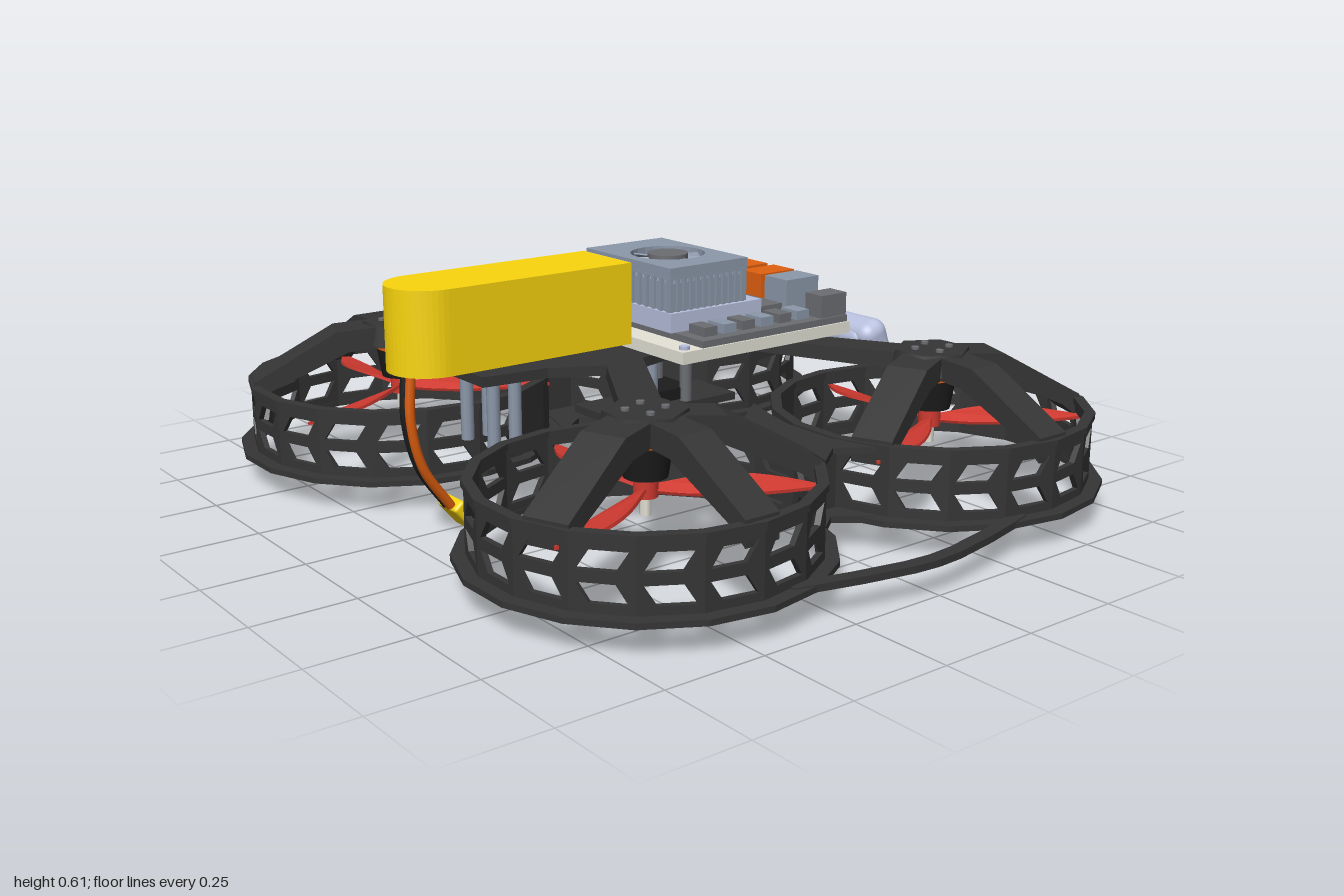
import * as THREE from 'three';
import { mergeGeometries } from 'three/addons/utils/BufferGeometryUtils.js';
import { RoundedBoxGeometry } from 'three/addons/geometries/RoundedBoxGeometry.js';

const mat = (color) => new THREE.MeshStandardMaterial({ color, side: THREE.DoubleSide });
const DARK = mat(0x353535), BLACK = mat(0x1c1c1c), YELLOW = mat(0xfad60e), RED = mat(0xd03a30);
const ORANGE = mat(0xe0600f), STEEL = mat(0x8c98aa), PALE = mat(0xb8c0de), CREAM = mat(0xe6e4d8), GREY = mat(0x6c6e72);

function add(parent, name, geometry, material, x = 0, y = 0, z = 0) {
  const m = new THREE.Mesh(geometry, material);
  m.name = name;
  m.position.set(x, y, z);
  parent.add(m);
  return m;
}
// Box given by its limits
function block(parent, name, material, x0, x1, y0, y1, z0, z1) {
  return add(parent, name, new THREE.BoxGeometry(x1 - x0, y1 - y0, z1 - z0), material,
    (x0 + x1) / 2, (y0 + y1) / 2, (z0 + z1) / 2);
}
const poly = (pts) => new THREE.Shape(pts.map(([x, y]) => new THREE.Vector2(x, y)));
const extrude = (shape, depth) => new THREE.ExtrudeGeometry(shape, { depth, bevelEnabled: false, curveSegments: 12 });
// Horizontal slab: outline in x, z between two heights
const slab = (shape, y0, y1) => extrude(shape, y1 - y0).rotateX(Math.PI / 2).translate(0, y1, 0);

const SIDES = 18, CX = 0.54, CZ = 0.445, WALL = 0.394;
function ringSlab(outer, inner, y0, y1) {
  const circle = (r) => Array.from({ length: SIDES }, (_, i) => {
    const a = (i / SIDES) * Math.PI * 2;
    return [r * Math.cos(a), r * Math.sin(a)];
  });
  const s = poly(circle(outer));
  s.holes.push(poly(circle(inner)));
  return slab(s, y0, y1);
}

// One flat facet of the duct wall, with a chevron of two slanted windows
function wallPanel(open) {
  const w = WALL * Math.sin(Math.PI / SIDES);
  const s = poly([[-w, 0.075], [w, 0.075], [w, 0.25], [-w, 0.25]]);
  if (open) {
    s.holes.push(poly([[-w * 0.8, 0.172], [w * 0.4, 0.172], [w * 0.8, 0.215], [-w * 0.4, 0.215]]));
    s.holes.push(poly([[-w * 0.4, 0.102], [w * 0.8, 0.102], [w * 0.4, 0.145], [-w * 0.8, 0.145]]));
  }
  return extrude(s, 0.014).translate(0, 0, -0.014);
}

// Curved blade along +x, twisted about its length
function bladeGeometry() {
  const s = new THREE.Shape();
  s.moveTo(0.02, -0.012);
  s.bezierCurveTo(0.12, -0.03, 0.24, -0.09, 0.395, 0.03);
  s.bezierCurveTo(0.3, 0.045, 0.15, 0.045, 0.02, 0.012);
  const g = slab(s, -0.004, 0.004);
  const p = g.attributes.position;
  for (let i = 0; i < p.count; i++) {
    const t = 0.45 - p.getX(i) * 0.9, y = p.getY(i), z = p.getZ(i);
    p.setXYZ(i, p.getX(i), y * Math.cos(t) - z * Math.sin(t), y * Math.sin(t) + z * Math.cos(t));
  }
  g.computeVertexNormals();
  return g;
}

function createRotorUnit(sx, sz) {
  const unit = new THREE.Group();
  unit.name = 'rotorUnit';
  unit.position.set(sx * CX, 0, sz * CZ);

  // Perforated duct, solid where it faces the body
  const panels = [];
  for (let i = 0; i < SIDES; i++) {
    const a = ((i + 0.5) / SIDES) * Math.PI * 2;
    const inward = -(Math.cos(a) * sx * 0.77 + Math.sin(a) * sz * 0.63);
    const r = WALL * Math.cos(Math.PI / SIDES);
    panels.push(wallPanel(inward < 0.9).rotateY(Math.PI / 2 - a).translate(r * Math.cos(a), 0, r * Math.sin(a)));
  }
  add(unit, 'ductWall', mergeGeometries(panels), DARK);
  add(unit, 'ductFlange', ringSlab(0.427, 0.378, 0.068, 0.082), DARK);
  add(unit, 'ductTopRim', ringSlab(0.4, 0.374, 0.236, 0.252), DARK);

  // Three sloping arms to the duct and one flat arm to the body
  const slope = poly([[0.02, 0.39], [0.17, 0.38], [0.385, 0.26], [0.385, 0.2], [0.34, 0.235], [0.14, 0.325], [0.02, 0.335]]);
  const flat = poly([[0.02, 0.385], [0.47, 0.385], [0.47, 0.355], [0.02, 0.34]]);
  for (const [dx, dz, shape, w] of [[0.14, 0.35, slope, 0.11], [0.39, 0, slope, 0.09], [0.15, -0.35, slope, 0.1], [-0.42, -0.25, flat, 0.095]]) {
    const arm = add(unit, 'arm', extrude(shape, w).translate(0, 0, -w / 2), DARK);
    arm.rotation.y = Math.atan2(-dz * sz, dx * sx);
  }
  const hub = add(unit, 'motorMount', new THREE.CylinderGeometry(0.095, 0.105, 0.055, 6), DARK, 0, 0.365, 0);
  hub.rotation.y = sx * sz * 0.5;
  for (let i = 0; i < 4; i++) {
    const a = i * Math.PI / 2 + 0.4;
    add(unit, 'mountScrew', new THREE.CylinderGeometry(0.01, 0.01, 0.008, 8), GREY, 0.045 * Math.cos(a), 0.395, 0.045 * Math.sin(a));
  }

  // Hanging motor and three-bladed propeller
  add(unit, 'motorStator', new THREE.CylinderGeometry(0.06, 0.06, 0.022, 24), ORANGE, 0, 0.328, 0);
  add(unit, 'motorBell', new THREE.CylinderGeometry(0.062, 0.05, 0.075, 24), BLACK, 0, 0.28, 0);
  add(unit, 'propellerHub', new THREE.CylinderGeometry(0.028, 0.028, 0.045, 16), RED, 0, 0.218, 0);
  add(unit, 'propellerNut', new THREE.CylinderGeometry(0.014, 0.014, 0.05, 6), CREAM, 0, 0.178, 0);
  for (let i = 0; i < 3; i++)
    add(unit, 'propellerBlade', bladeGeometry(), RED, 0, 0.212, 0).rotation.y = Math.PI + i * Math.PI * 2 / 3;
  return unit;
}

function createFrame() {
  const frame = new THREE.Group();
  frame.name = 'frame';
  for (const sx of [-1, 1]) {
    for (const sz of [-1, 1]) frame.add(createRotorUnit(sx, sz));
    // Bowed strip and webs joining the front and rear ducts
    const outer = [[0.93, -0.36], [0.97, -0.2], [0.995, -0.07], [1, 0], [0.995, 0.07], [0.97, 0.2], [0.93, 0.36]];
    const inner = outer.map(([x, z]) => [x - 0.035, z]).reverse();
    const mirror = (pts) => poly(pts.map(([x, z]) => [x * sx, z]));
    add(frame, 'sideStrip', slab(mirror([...outer, ...inner]), 0.068, 0.085), DARK);
    const edge = [[0.27, 0.1], [0.36, 0.07], [0.46, 0.045], [0.6, 0.045], [0.72, 0.08]];
    const web = mirror([...edge, [0.66, 0], ...edge.map(([x, z]) => [x, -z]).reverse(), [0.35, 0]]);
    add(frame, 'lowerWeb', slab(web, 0.068, 0.085), DARK);
    add(frame, 'upperWeb', slab(web, 0.235, 0.25), DARK);
    block(frame, 'ductJoint', DARK, sx * 0.54 - 0.08, sx * 0.54 + 0.08, 0.075, 0.245, -0.05, 0.05);
  }
  // Body plates
  const top = poly([[-0.07, -0.52], [0.07, -0.52], [0.11, -0.4], [0.18, -0.25], [0.12, 0], [0.18, 0.25], [0.1, 0.4], [0.08, 0.57],
    [-0.08, 0.57], [-0.1, 0.4], [-0.18, 0.25], [-0.12, 0], [-0.18, -0.25], [-0.11, -0.4]]);
  top.holes.push(poly([[-0.05, -0.48], [-0.03, -0.42], [0.03, -0.42], [0.05, -0.48]]));
  add(frame, 'topPlate', slab(top, 0.36, 0.385), DARK);
  block(frame, 'lowerPlate', DARK, -0.08, 0.08, 0.2, 0.22, -0.2, 0.2);
  block(frame, 'controllerStack', BLACK, -0.06, 0.06, 0.225, 0.255, -0.07, 0.06);
  block(frame, 'sensor', GREY, -0.085, -0.04, 0.12, 0.2, 0.02, 0.08);
  for (const x of [-0.06, 0.06]) for (const z of [-0.05, 0.06, 0.47, 0.53])
    add(frame, 'standoff', new THREE.CylinderGeometry(0.016, 0.016, 0.18, 10), z < 0 ? GREY : STEEL, x, 0.285, z);
  return frame;
}

function createComputer() {
  const g = new THREE.Group();
  g.name = 'computer';
  block(g, 'carrierTray', CREAM, -0.31, 0.305, 0.395, 0.425, -0.39, 0.155);
  block(g, 'circuitBoard', GREY, -0.25, 0.3, 0.425, 0.442, -0.385, 0.09);
  block(g, 'moduleBoard', PALE, -0.19, 0.19, 0.442, 0.49, -0.19, 0.1);
  block(g, 'moduleEdge', GREY, -0.19, 0.19, 0.442, 0.47, -0.26, -0.19);
  block(g, 'heatsinkBase', STEEL, -0.165, 0.175, 0.49, 0.56, -0.145, 0.09);
  // Heatsink fins around a hollow holding the fan
  const cap = poly([[-0.17, -0.15], [0.18, -0.15], [0.18, 0.095], [-0.17, 0.095]]);
  cap.holes.push(new THREE.Path().absarc(0.01, -0.03, 0.095, 0, Math.PI * 2));
  add(g, 'heatsinkTop', slab(cap, 0.57, 0.6), STEEL);
  for (let i = 0; i < 12; i++) {
    const z = -0.14 + i * 0.0205, x = -0.155 + i * 0.029;
    for (const fx of [-0.17, 0.175]) block(g, 'fin', STEEL, fx - 0.006, fx + 0.006, 0.49, 0.575, z, z + 0.009);
    for (const fz of [-0.147, 0.092]) block(g, 'fin', STEEL, x, x + 0.011, 0.49, 0.575, fz - 0.005, fz + 0.005);
  }
  add(g, 'fanWell', new THREE.CylinderGeometry(0.095, 0.095, 0.012, 28), BLACK, 0.01, 0.566, -0.03);
  add(g, 'fanHub', new THREE.CylinderGeometry(0.052, 0.052, 0.034, 24), GREY, 0.01, 0.584, -0.03);
  for (let i = 0; i < 9; i++) {
    const b = add(g, 'fanBlade', new THREE.BoxGeometry(0.046, 0.004, 0.03).rotateX(0.6).translate(0.07, 0, 0), STEEL, 0.01, 0.582, -0.03);
    b.rotation.y = i * Math.PI * 2 / 9;
  }
  // Rear sockets and board parts
  for (const x of [-0.1, 0.005]) {
    block(g, 'orangeSocket', ORANGE, x, x + 0.08, 0.455, 0.525, -0.395, -0.28);
    block(g, 'socketShell', PALE, x - 0.006, x + 0.086, 0.442, 0.455, -0.395, -0.27);
  }
  block(g, 'networkSocket', GREY, -0.2, -0.115, 0.442, 0.52, -0.395, -0.28);
  block(g, 'displaySocket', STEEL, 0.1, 0.185, 0.442, 0.525, -0.39, -0.28);
  block(g, 'powerSocket', GREY, 0.235, 0.295, 0.442, 0.5, -0.385, -0.3);
  block(g, 'cornerSocket', CREAM, -0.28, -0.225, 0.425, 0.48, -0.385, -0.33);
  for (let i = 0; i < 6; i++) {
    block(g, 'chip', i % 2 ? GREY : STEEL, 0.21, 0.27, 0.442, 0.465, -0.28 + i * 0.06, -0.24 + i * 0.06);
    block(g, 'pinHeader', GREY, -0.245, -0.205, 0.442, 0.475, -0.28 + i * 0.06, -0.235 + i * 0.06);
  }
  for (const x of [-0.21, -0.165]) block(g, 'capacitor', ORANGE, x, x + 0.035, 0.442, 0.485, -0.245, -0.215);
  for (const x of [-0.285, 0.28]) for (const z of [-0.3, 0.13])
    add(g, 'boardScrew', new THREE.CylinderGeometry(0.013, 0.013, 0.012, 10), PALE, x, 0.428, z);
  return g;
}

function createBattery() {
  const g = new THREE.Group();
  g.name = 'battery';
  const s = new THREE.Shape();
  s.moveTo(-0.088, 0.16);
  s.lineTo(0.11, 0.16);
  s.lineTo(0.11, 0.67);
  s.absarc(0.011, 0.67, 0.099, 0, Math.PI, false);
  s.closePath();
  add(g, 'batteryCase', slab(s, 0.41, 0.612), YELLOW);
  // Dark opening with crossing ribs on the right side
  block(g, 'sideOpening', BLACK, -0.091, -0.086, 0.43, 0.575, 0.2, 0.65);
  for (let i = 0; i < 4; i++) {
    const rib = block(g, 'sideRib', YELLOW, -0.094, -0.088, 0.497, 0.505, 0.19 + i * 0.11, 0.33 + i * 0.11);
    rib.rotation.x = i % 2 ? 0.8 : -0.8;
  }
  // Lead wires and plug
  [[0.04, ORANGE], [0.015, BLACK]].forEach(([x, m]) => {
    const path = new THREE.CatmullRomCurve3([[x, 0.42, 0.735], [x, 0.3, 0.74], [x * 0.9, 0.18, 0.71], [x * 0.7, 0.07, 0.635]]
      .map((p) => new THREE.Vector3(...p)));
    add(g, 'leadWire', new THREE.TubeGeometry(path, 16, 0.012, 8), m);
  });
  const plug = add(g, 'plug', new RoundedBoxGeometry(0.085, 0.085, 0.035, 2, 0.008), YELLOW, 0.01, 0.042, 0.6);
  plug.rotation.x = 0.7;
  return g;
}

export function createModel() {
  const model = new THREE.Group();
  model.name = 'ductedQuadcopter';
  model.add(createFrame(), createComputer(), createBattery());
  // Rounded receiver pod behind the body
  const pod = new THREE.Group();
  pod.name = 'rearPod';
  pod.position.set(0, 0.337, -0.557);
  pod.rotation.x = 0.35;
  add(pod, 'podShell', new RoundedBoxGeometry(0.51, 0.108, 0.09, 4, 0.036), PALE);
  add(pod, 'podBand', new RoundedBoxGeometry(0.46, 0.085, 0.11, 3, 0.03), PALE);
  model.add(pod);
  block(model, 'podBracket', DARK, -0.05, 0.05, 0.33, 0.36, -0.54, -0.4);
  return model;
}
